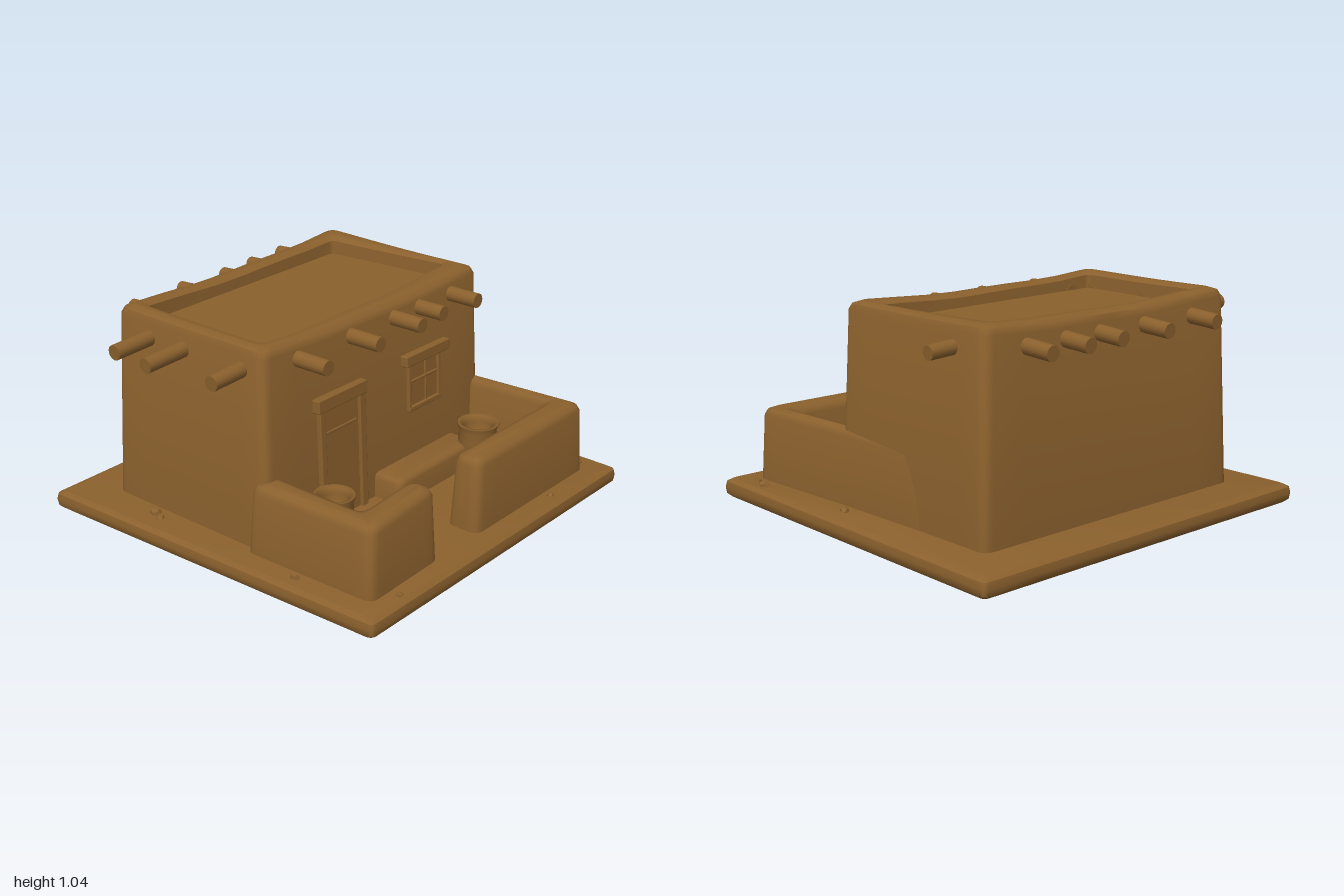
import * as THREE from 'three';
import { toCreasedNormals } from 'three/addons/utils/BufferGeometryUtils.js';
import { RoundedBoxGeometry } from 'three/addons/geometries/RoundedBoxGeometry.js';

const clay = new THREE.MeshStandardMaterial({ color: 0x8a602d });
clay.name = 'adobe clay';

// Move every edge of an [x, z] outline inward by d (outlines run anticlockwise seen from above)
function inset(corners, d) {
  const n = corners.length;
  return corners.map((p, i) => {
    const a = corners[(i + n - 1) % n], b = corners[(i + 1) % n];
    const e1 = new THREE.Vector2(p[0] - a[0], p[1] - a[1]).normalize();
    const e2 = new THREE.Vector2(b[0] - p[0], b[1] - p[1]).normalize();
    const n1 = new THREE.Vector2(e1.y, -e1.x), n2 = new THREE.Vector2(e2.y, -e2.x);
    const k = d / (1 + n1.dot(n2));
    return [p[0] + (n1.x + n2.x) * k, p[1] + (n1.y + n2.y) * k];
  });
}

// Outline with rounded corners and subdivided straight edges
function roundLoop(corners, r) {
  const n = corners.length, out = [];
  const toward = (p, q, s) => {
    const l = Math.hypot(q[0] - p[0], q[1] - p[1]);
    const f = Math.min(s / l, 0.45);
    return [p[0] + (q[0] - p[0]) * f, p[1] + (q[1] - p[1]) * f];
  };
  corners.forEach((p, i) => {
    const a = toward(p, corners[(i + n - 1) % n], r);
    const next = corners[(i + 1) % n];
    const b = toward(p, next, r), c = toward(next, p, r);
    for (let k = 0; k <= 4; k++) {
      const t = k / 4, u = 1 - t;
      out.push([0, 1].map(j => u * u * a[j] + 2 * u * t * p[j] + t * t * b[j]));
    }
    for (let k = 1; k < 8; k++) out.push([0, 1].map(j => b[j] + (c[j] - b[j]) * k / 8));
  });
  return out;
}

// Skin through levels {corners, y, r}, capped at both ends; warp(x, y, z) adjusts the height
function loft(name, levels, warp = (x, y) => y, crease = 0.75) {
  const loops = levels.map(l => roundLoop(l.corners, l.r));
  const n = loops[0].length, pos = [], idx = [];
  loops.forEach((loop, j) => loop.forEach(([x, z]) => pos.push(x, warp(x, levels[j].y, z), z)));
  for (let j = 0; j < loops.length - 1; j++) {
    for (let i = 0; i < n; i++) {
      const a = j * n + i, b = j * n + (i + 1) % n;
      idx.push(a, b, b + n, a, b + n, a + n);
    }
  }
  const cap = (loop, base, flip) => {
    const tris = THREE.ShapeUtils.triangulateShape(loop.map(([x, z]) => new THREE.Vector2(x, -z)), []);
    tris.forEach(([a, b, c]) => flip ? idx.push(base + a, base + c, base + b) : idx.push(base + a, base + b, base + c));
  };
  cap(loops[0], 0, true);
  cap(loops[loops.length - 1], (loops.length - 1) * n, false);
  const geo = new THREE.BufferGeometry();
  geo.setAttribute('position', new THREE.Float32BufferAttribute(pos, 3));
  geo.setIndex(idx);
  return named(name, toCreasedNormals(geo.toNonIndexed(), crease));
}

function named(name, geo, x = 0, y = 0, z = 0) {
  const mesh = new THREE.Mesh(geo, clay);
  mesh.name = name;
  mesh.position.set(x, y, z);
  return mesh;
}

// Low mass with sloping sides and a soft top
function softBlock(name, corners, top, r, taper, soft, warp) {
  const level = (d, y) => ({ corners: inset(corners, d), y, r });
  return loft(name, [
    level(0, 0.07), level(taper, top - soft), level(taper + soft * 0.3, top - soft * 0.3), level(taper + soft, top),
  ], warp, 0.9);
}

// Roof beam between two points
function beam(name, from, to, r = 0.036) {
  const a = new THREE.Vector3(...from), b = new THREE.Vector3(...to), d = b.clone().sub(a);
  const mesh = named(name, new THREE.CylinderGeometry(r, r * 1.05, d.length(), 14));
  mesh.position.copy(a).add(b).multiplyScalar(0.5);
  mesh.quaternion.setFromUnitVectors(new THREE.Vector3(0, 1, 0), d.normalize());
  return mesh;
}

function pot(name, x, z, height, r) {
  const pts = [[0, 0], [0.6, 0], [0.85, 0.3], [0.93, 0.6], [0.88, 0.85], [1, 0.97], [0.96, 1], [0.8, 0.98], [0.72, 0.85], [0.7, 0.5], [0, 0.45]];
  const geo = new THREE.LatheGeometry(pts.map(([u, v]) => new THREE.Vector2(u * r, v * height)), 24);
  return named(name, geo, x, 0.08, z);
}

export function createModel() {
  const model = new THREE.Group();

  // Ground slab
  const slab = [[-0.97, -1], [-0.962, 0.998], [0.957, 0.93], [0.972, -0.985]];
  model.add(loft('groundSlab', [[0.02, 0], [0.004, 0.015], [0, 0.045], [0.006, 0.075], [0.03, 0.09]]
    .map(([d, y]) => ({ corners: inset(slab, d), y, r: 0.03 }))));

  // House with parapet and sunken roof
  const foot = [[-0.74, -0.79], [-0.73, 0.79], [0.25, 0.79], [0.265, -0.8]];
  const head = [[-0.715, -0.765], [-0.695, 0.76], [0.212, 0.76], [0.228, -0.77]];
  const roof = [[-0.59, -0.63], [-0.59, 0.655], [0.105, 0.655], [0.075, -0.69]];
  const sag = (x, y, z) => y < 0.97 ? y : y + 0.024 * (z / 0.77) ** 2 - 0.008 * x + 0.003 * Math.sin(9 * z + 5 * x);
  model.add(loft('house', [
    { corners: foot, y: 0.07, r: 0.05 },
    { corners: head, y: 0.975, r: 0.05 },
    { corners: inset(head, 0.012), y: 1.003, r: 0.05 },
    { corners: inset(head, 0.045), y: 1.018, r: 0.05 },
    { corners: inset(roof, -0.03), y: 1.018, r: 0.04 },
    { corners: inset(roof, -0.006), y: 1.003, r: 0.03 },
    { corners: roof, y: 0.955, r: 0.02 },
  ], sag));

  // Courtyard walls, leaving a gateway
  model.add(softBlock('backCourtyardWall',
    [[-0.35, -0.795], [-0.3, -0.68], [0.2, -0.7], [0.675, -0.73], [0.675, 0.045], [0.85, 0.045], [0.855, -0.855], [0.2, -0.815]],
    0.45, 0.05, 0.015, 0.04));
  model.add(softBlock('frontCourtyardWall',
    [[0.15, 0.66], [0.15, 0.83], [0.855, 0.81], [0.845, 0.325], [0.68, 0.325], [0.68, 0.665]],
    0.45, 0.05, 0.015, 0.04, (x, y, z) => y > 0.3 ? y - 0.025 * Math.max(0, (z - 0.4) / 0.4) : y));

  // Bench against the house
  model.add(softBlock('bench', [[0.2, -0.58], [0.2, 0.05], [0.41, 0.05], [0.41, -0.58]], 0.21, 0.04, 0.005, 0.025));

  // Projecting roof beams
  [[-0.555, 0.39], [-0.31, 0.37], [-0.12, 0.39], [0.185, 0.39], [0.54, 0.39]]
    .forEach(([z, x]) => model.add(beam('leftRoofBeam', [0.1, 0.945, z], [x, 0.945, z])));
  [[-0.53, -0.87], [-0.3, -0.86], [-0.09, -0.85], [0.195, -0.86], [0.52, -0.855]]
    .forEach(([z, x]) => model.add(beam('rightRoofBeam', [-0.6, 0.94, z], [x, 0.925, z])));
  [[-0.485, 0.975], [-0.27, 0.99], [0.085, 0.945]]
    .forEach(([x, z]) => model.add(beam('frontRoofBeam', [x, 0.935, 0.65], [x, 0.922, z])));
  model.add(beam('backRoofBeam', [-0.515, 0.94, -0.65], [-0.515, 0.925, -0.9], 0.033));

  // Door and window, leaning with the wall: [name, z0, z1, y0, y1, proud]
  const leaning = (name, faceX, parts) => {
    const group = new THREE.Group();
    group.name = name;
    group.position.set(faceX, 0.08, 0);
    group.rotation.z = 0.041;
    parts.forEach(([part, z0, z1, y0, y1, proud]) => group.add(named(part,
      new RoundedBoxGeometry(0.06 + proud, y1 - y0, z1 - z0, 2, 0.006),
      (proud - 0.06) / 2, (y0 + y1) / 2 - 0.08, (z0 + z1) / 2)));
    model.add(group);
  };
  leaning('door', 0.255, [
    ['doorPanel', 0.15, 0.42, 0.08, 0.67, 0.006],
    ['doorRail', 0.17, 0.4, 0.53, 0.545, 0.011],
    ['doorJamb', 0.118, 0.162, 0.08, 0.67, 0.022],
    ['doorJamb', 0.4, 0.438, 0.08, 0.67, 0.022],
    ['doorLintel', 0.125, 0.462, 0.66, 0.725, 0.038],
  ]);
  leaning('window', 0.26, [
    ['windowPane', -0.45, -0.215, 0.45, 0.69, 0.004],
    ['windowSide', -0.458, -0.435, 0.45, 0.69, 0.016],
    ['windowSide', -0.228, -0.205, 0.45, 0.69, 0.016],
    ['windowSill', -0.458, -0.205, 0.44, 0.465, 0.018],
    ['windowBar', -0.45, -0.215, 0.583, 0.597, 0.011],
    ['windowPost', -0.352, -0.338, 0.45, 0.69, 0.011],
    ['windowLintel', -0.5, -0.165, 0.685, 0.74, 0.038],
  ]);

  // Pots, with a small ladle beside the front one
  model.add(pot('backPot', 0.41, -0.57, 0.23, 0.105));
  model.add(pot('frontPot', 0.39, 0.505, 0.25, 0.098));
  model.add(beam('ladleHandle', [0.45, 0.14, 0.5], [0.56, 0.14, 0.475], 0.018));

  // Loose stones on the ground
  [[0.72, -0.91, 0.03], [0.8, -0.89, 0.022], [0.13, -0.87, 0.025], [-0.42, 0.84, 0.03], [-0.37, 0.86, 0.022],
    [0.47, 0.86, 0.025], [0.9, 0.68, 0.018], [0.89, -0.5, 0.02], [0.58, -0.22, 0.015]].forEach(([x, z, r], i) => {
    const stone = named('stone', new THREE.DodecahedronGeometry(r), x, 0.09, z);
    stone.rotation.set(i, i * 2, 0);
    stone.scale.y = 0.8;
    model.add(stone);
  });
  return model;
}
